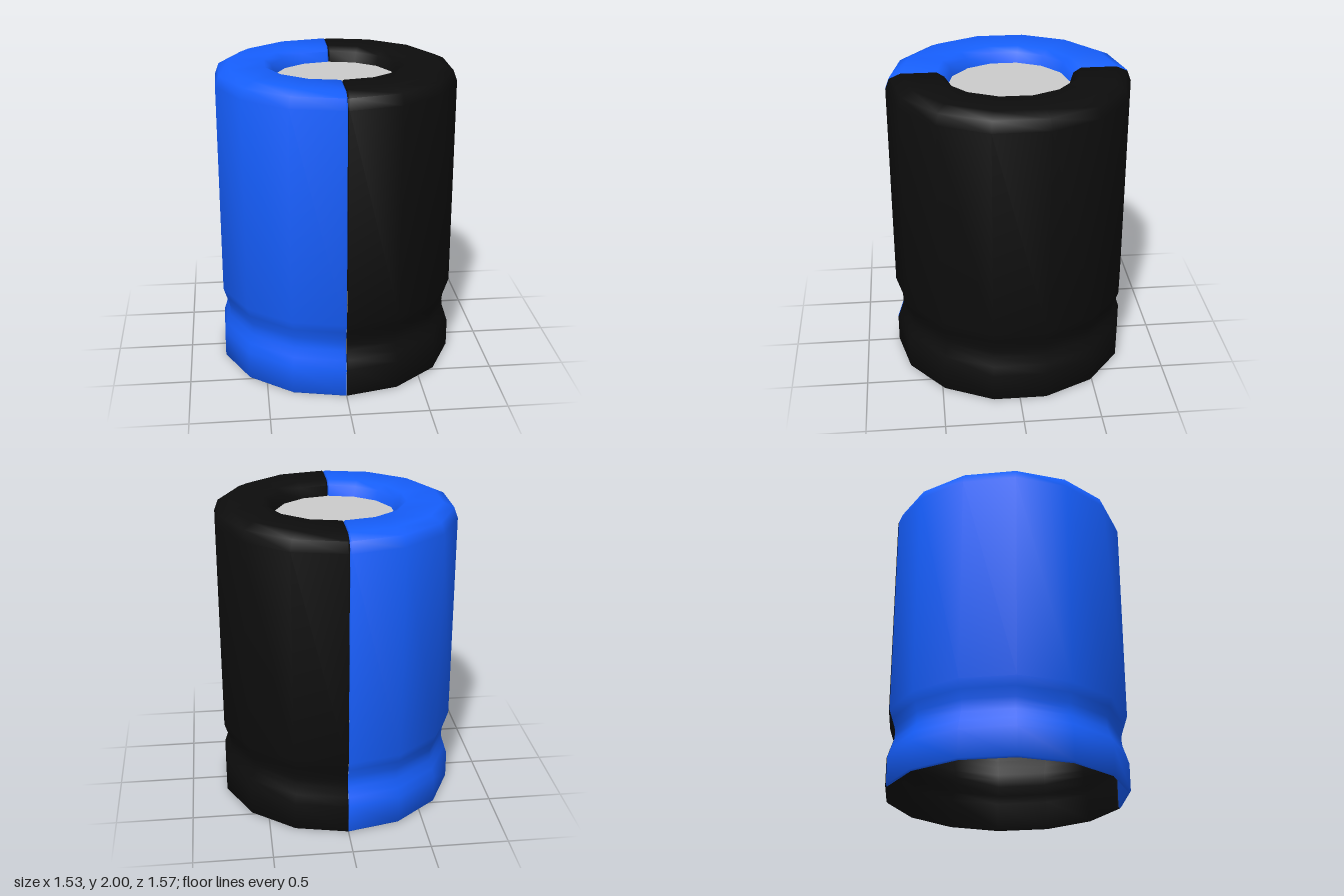
import * as THREE from 'three';
import { toCreasedNormals } from 'three/addons/utils/BufferGeometryUtils.js';

const SIDES = 14;
const WALL = 0.02;
const STEP = (Math.PI * 2) / SIDES;

// Outer sleeve profile (radius, height), from the foot up and over the top rim
const PROFILE = [
  [0.785, 0.01], [0.785, 0.19], [0.766, 0.25], [0.746, 0.31], [0.742, 0.35], [0.746, 0.39],
  [0.766, 0.45], [0.785, 0.51], [0.785, 1.9], [0.76, 1.968], [0.688, 2],
  [0.46, 2], [0.412, 1.97], [0.39, 1.9],
].map(([r, y]) => new THREE.Vector2(r, y));

// Profile moved inwards by a distance d
function insetProfile(d) {
  return PROFILE.map((p, i) => {
    const before = PROFILE[Math.max(i - 1, 0)];
    const after = PROFILE[Math.min(i + 1, PROFILE.length - 1)];
    const dir = after.clone().sub(before).normalize();
    return new THREE.Vector2(p.x - dir.y * d, p.y + dir.x * d);
  });
}

// Closed wall section: foot, outer face up, inner face down, foot
function wallSection(inset) {
  const foot = new THREE.Vector2(PROFILE[0].x - WALL / 2, 0);
  return [foot, ...insetProfile(inset), ...insetProfile(WALL - inset).reverse(), foot.clone()];
}

// Half sleeve on the +x side, its two seam edges closed and slightly rounded
function halfSleeve() {
  const seam = [
    { x: 0.001, inset: WALL / 2 },
    { x: 0.001, inset: 0.007 },
    { x: 0.009, inset: 0 },
  ].map((c) => ({ ...c, section: wallSection(c.inset) }));
  const full = wallSection(0);
  const columns = [];
  for (const c of seam) columns.push({ ...c, zSign: 1 });
  for (let k = 1; k < SIDES / 2; k++) columns.push({ angle: k * STEP, section: full });
  for (const c of [...seam].reverse()) columns.push({ ...c, zSign: -1 });

  const geometry = new THREE.LatheGeometry(full, columns.length - 1, 0, Math.PI);
  const pos = geometry.attributes.position;
  columns.forEach((c, i) => c.section.forEach((p, j) => {
    const n = i * full.length + j;
    if (c.angle !== undefined) {
      pos.setXYZ(n, p.x * Math.sin(c.angle), p.y, p.x * Math.cos(c.angle));
    } else {
      // seam columns lie on the flat facet next to the corner
      pos.setXYZ(n, c.x, p.y, c.zSign * (p.x - c.x * Math.tan(STEP / 2)));
    }
  }));
  return toCreasedNormals(geometry, 0.9);
}

export function createModel() {
  const model = new THREE.Group();
  model.name = 'capacitor';
  const geometry = halfSleeve();

  const add = (name, geo, color) => {
    const mesh = new THREE.Mesh(geo, new THREE.MeshStandardMaterial({ color }));
    mesh.name = name;
    model.add(mesh);
    return mesh;
  };

  // Two-tone sleeve
  add('blackSleeveHalf', geometry, 0x0d0d0d);
  add('blueSleeveHalf', geometry, 0x165fff).rotation.y = Math.PI;

  // Recessed metal top
  add('topDisc', new THREE.CylinderGeometry(0.395, 0.395, 0.015, SIDES), 0xcccccc).position.y = 1.897;

  return model;
}
